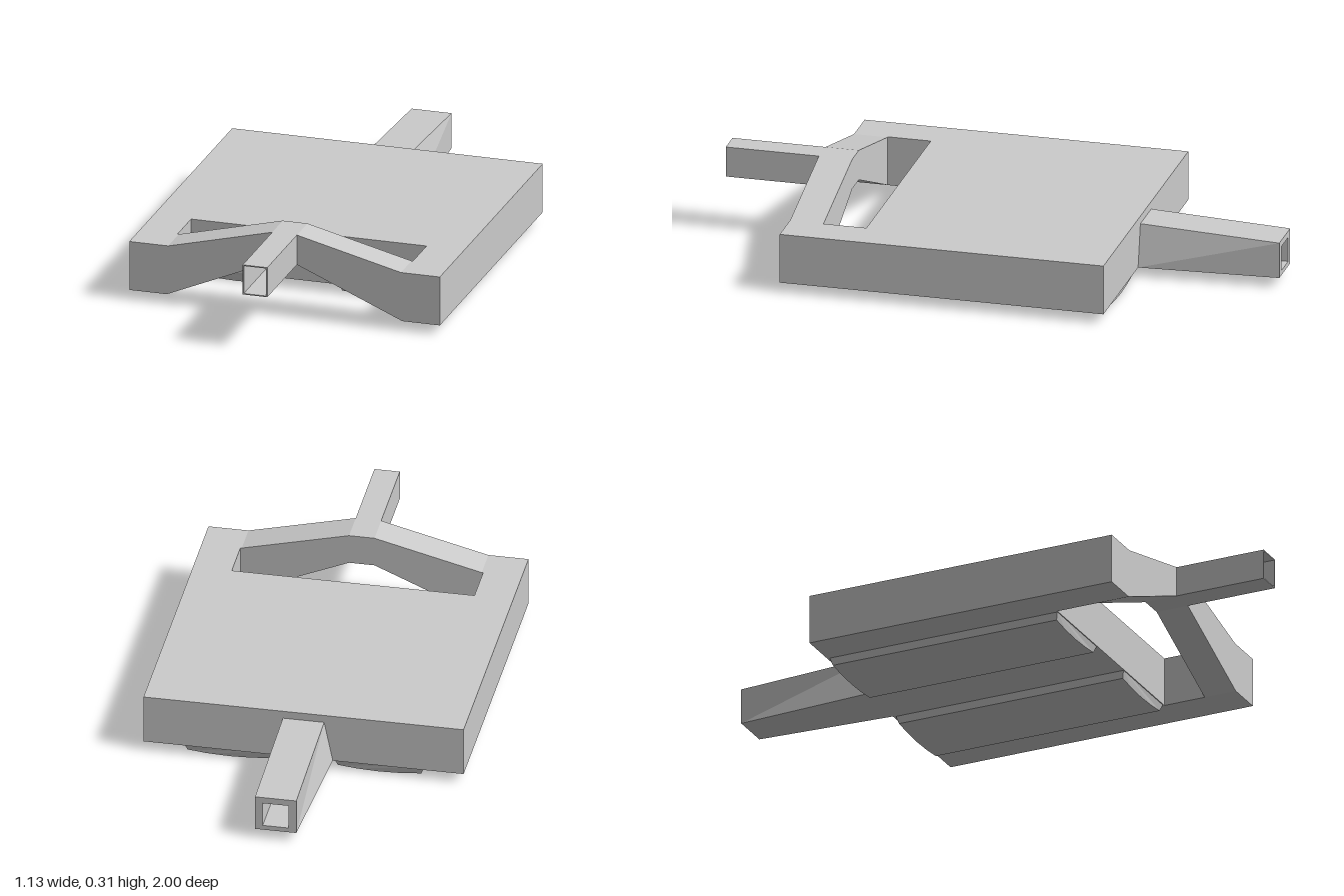
import * as THREE from 'three';

const material = new THREE.MeshStandardMaterial({ color: 0xcccccc, flatShading: true, side: THREE.DoubleSide });

const toPoints = (pts) => pts.map(([x, y]) => new THREE.Vector2(x, y));

// Extrude an outline (with an optional hole) along z, from zMin to zMax
function prism(outline, zMin, zMax, hole) {
  const shape = new THREE.Shape(toPoints(outline));
  if (hole) shape.holes.push(new THREE.Path(toPoints(hole)));
  const geometry = new THREE.ExtrudeGeometry(shape, { depth: zMax - zMin, bevelEnabled: false });
  return geometry.translate(0, 0, zMin);
}

const rect = (w, y0, y1) => [[-w, y0], [w, y0], [w, y1], [-w, y1]];

// Move every vertex by a rule
function reshape(geometry, rule) {
  const pos = geometry.attributes.position;
  const v = new THREE.Vector3();
  for (let i = 0; i < pos.count; i++) {
    rule(v.fromBufferAttribute(pos, i));
    pos.setXYZ(i, v.x, v.y, v.z);
  }
  geometry.computeVertexNormals();
  return geometry;
}

export function createModel() {
  const group = new THREE.Group();
  const add = (name, geometry) => {
    const mesh = new THREE.Mesh(geometry, material);
    mesh.name = name;
    group.add(mesh);
    return mesh;
  };

  const BOTTOM = 0.035, TOP = 0.215, HALF = 0.567;

  // Flat slab with two arms reaching forward
  const slab = prism([
    [-HALF, -0.5], [HALF, -0.5], [HALF, 0.545], [0.43, 0.545],
    [0.43, 0.39], [-0.43, 0.39], [-0.43, 0.545], [-HALF, 0.545],
  ], 0, TOP - BOTTOM);
  slab.rotateX(Math.PI / 2).translate(0, TOP, 0);
  add('slab', slab);

  // Arched bar that joins the arms
  add('archedBar', prism([
    [-HALF, BOTTOM], [-0.43, BOTTOM], [-0.045, 0.2], [0.045, 0.2], [0.43, BOTTOM], [HALF, BOTTOM],
    [HALF, TOP], [0.425, TOP], [0.045, 0.31], [-0.045, 0.31], [-0.425, TOP], [-HALF, TOP],
  ], 0.545, 0.665));

  // Thin-walled front tube
  add('frontTube', prism(rect(0.045, 0.2, 0.31), 0.665, 1, rect(0.041, 0.204, 0.306)));

  // Thick-walled rear tube, taller and with a flared bottom where it meets the slab
  const rear = prism(rect(0.073, BOTTOM, 0.165), -1, -0.5, rect(0.046, 0.052, 0.142));
  add('rearTube', reshape(rear, (v) => {
    if (v.z < -0.9) return;
    if (v.y > 0.16) v.y = 0.187;
    if (v.y < 0.04) v.x *= 1.42;
  }));

  // Two shallow bulging pads underneath, with slightly sloped ends
  for (const [name, side] of [['leftPad', 1], ['rightPad', -1]]) {
    const profile = [
      [-0.16, 0.04], [-0.148, 0.01], [-0.08, 0.003], [0, 0],
      [0.08, 0.003], [0.148, 0.01], [0.16, 0.04],
    ];
    const pad = prism(profile, -0.44, 0.44);
    reshape(pad, (v) => { if (v.y < 0.02) v.z *= 0.98; });
    add(name, pad).position.set(side * 0.266, 0, -0.052);
  }

  return group;
}
